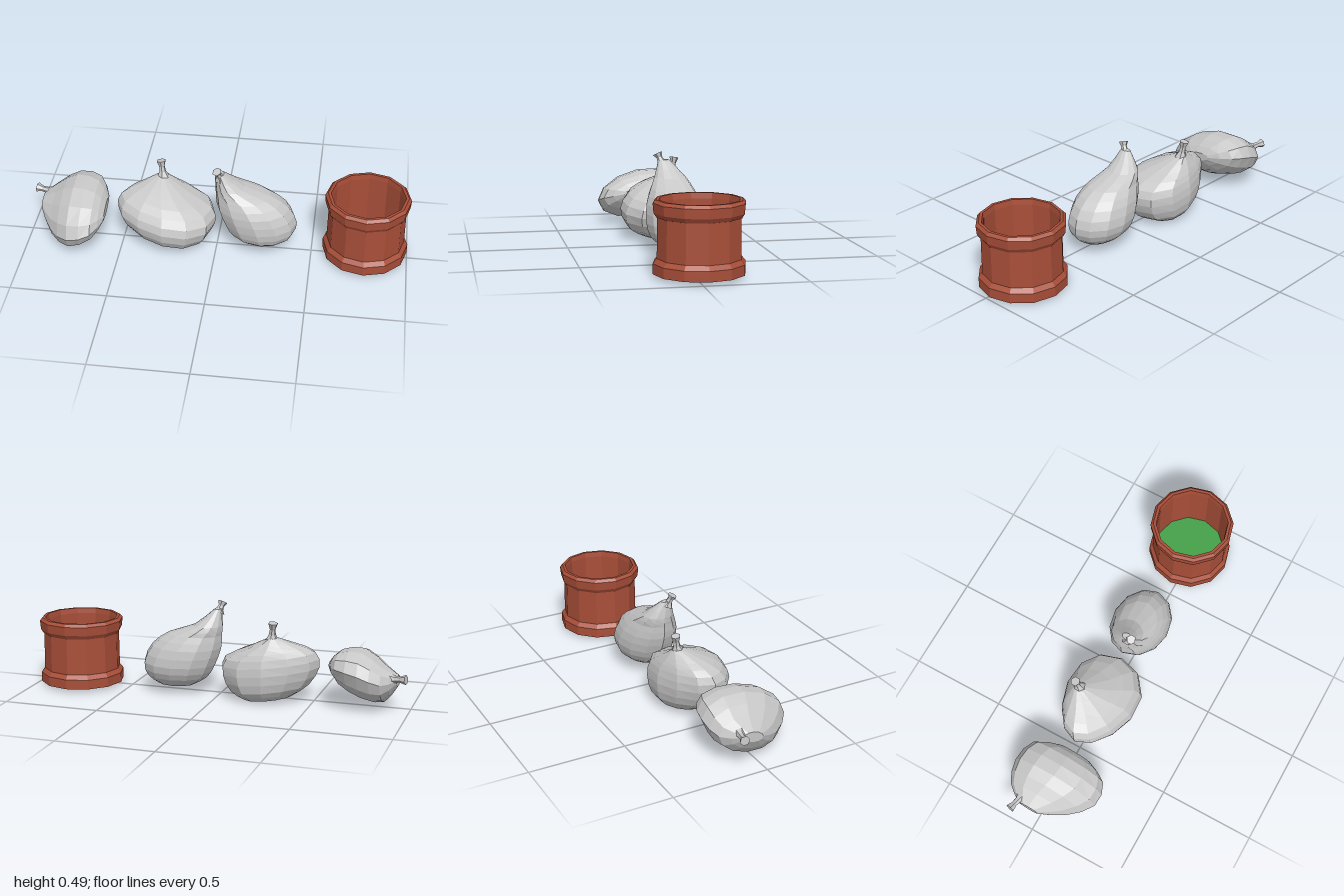
import * as THREE from 'three';

const clay = new THREE.MeshStandardMaterial({ color: 0xa84e38 });
clay.name = 'terracotta';
const skin = new THREE.MeshStandardMaterial({ color: 0xc8c8c8 });
skin.name = 'pale grey skin';
const green = new THREE.MeshStandardMaterial({ color: 0x43a047 });
green.name = 'green';

// Add a mesh whose faces each have their own flat normal
function addMesh(parent, name, geometry, material) {
  const flat = geometry.toNonIndexed();
  flat.computeVertexNormals();
  const mesh = new THREE.Mesh(flat, material);
  mesh.name = name;
  parent.add(mesh);
  return mesh;
}

// Smooth loft through egg-shaped stations [t, a0, a1, b0, b1].
// Axis 'y': t = y, a = x, b = z.  Axis 'x': t = x, a = z, b = y.
// Taper narrows the low-a end; lean lowers the high-a side.
function loft(stations, axis, taper, lean) {
  const sides = 12, last = (stations.length - 1) * 2;
  const spline = (column) => new THREE.CatmullRomCurve3(
    stations.map((s) => new THREE.Vector3(s[0], s[column], s[column + 1])), false, 'catmullrom');
  const spanA = spline(1), spanB = spline(3);
  const pos = [], index = [];
  for (let i = 0; i <= last; i++) {
    const { x: t, y: a0, z: a1 } = spanA.getPoint(i / last);
    const { y: b0, z: b1 } = spanB.getPoint(i / last);
    for (let j = 0; j < sides; j++) {
      const angle = (j / sides) * Math.PI * 2;
      const u = Math.cos(angle), v = Math.sin(angle) * (1 + taper * u);
      const a = (a0 + a1 + u * (a1 - a0)) / 2;
      const b = (b0 + b1 + v * (b1 - b0)) / 2;
      const drop = (lean * u * (a1 - a0)) / 2;
      if (axis === 'y') pos.push(a, t - drop, b);
      else pos.push(t, b - drop, a);
    }
  }
  for (let i = 0; i < last; i++) {
    for (let j = 0; j < sides; j++) {
      const p = i * sides + j, q = i * sides + ((j + 1) % sides);
      index.push(p, p + sides, q + sides, p, q + sides, q);
    }
  }
  // End caps
  const top = last * sides;
  for (let j = 1; j < sides - 1; j++) {
    index.push(0, j, j + 1, top, top + j + 1, top + j);
  }
  const geometry = new THREE.BufferGeometry();
  geometry.setAttribute('position', new THREE.Float32BufferAttribute(pos, 3));
  geometry.setIndex(index);
  return geometry;
}

// Bulb body with a pinched stem that flares at its tip
function makeBulb(name, body, stemBase, stemTip) {
  const bulb = new THREE.Group();
  bulb.name = name;
  addMesh(bulb, 'bulbBody', body, skin);

  const base = new THREE.Vector3(...stemBase);
  const direction = new THREE.Vector3(...stemTip).sub(base);
  const length = direction.length();
  const profile = [[0.034, 0], [0.018, 0.35], [0.015, 0.65], [0.025, 1], [0, 1]]
    .map(([r, h]) => new THREE.Vector2(r, h * length));
  const stem = addMesh(bulb, 'bulbStem', new THREE.LatheGeometry(profile, 6), skin);
  stem.position.copy(base);
  stem.quaternion.setFromUnitVectors(new THREE.Vector3(0, 1, 0), direction.normalize());
  return bulb;
}

function makePot() {
  const pot = new THREE.Group();
  pot.name = 'pot';
  // Foot, wall, rim and inner wall
  const profile = [
    [0, 0.02], [0.221, 0.02], [0.221, 0.07], [0.202, 0.093], [0.2, 0.285],
    [0.204, 0.286], [0.217, 0.307], [0.221, 0.353], [0.207, 0.368],
    [0.192, 0.368], [0.188, 0.34], [0.188, 0.05],
  ].map(([r, y]) => new THREE.Vector2(r, y));
  addMesh(pot, 'potShell', new THREE.LatheGeometry(profile, 12), clay);

  const floor = addMesh(pot, 'potFloor', new THREE.CircleGeometry(0.189, 12), green);
  floor.rotation.x = -Math.PI / 2;
  floor.position.y = 0.05;
  pot.position.set(0.778, 0, -0.028);
  return pot;
}

export function createModel() {
  const model = new THREE.Group();
  model.name = 'bulbsAndPot';

  // Lying on its side
  model.add(makeBulb('lyingBulb', loft([
    [-0.94, -0.10, 0.01, 0.135, 0.19],
    [-0.87, -0.19, 0.13, 0.04, 0.235],
    [-0.76, -0.222, 0.238, 0.035, 0.302],
    [-0.64, -0.185, 0.22, 0.1, 0.285],
    [-0.585, -0.06, 0.11, 0.175, 0.225],
  ], 'x', 0, 0.18), [-0.90, 0.182, -0.10], [-0.99, 0.19, -0.122]));

  // Broad and squat
  model.add(makeBulb('broadBulb', loft([
    [0.018, -0.39, -0.14, -0.145, 0.06],
    [0.07, -0.475, -0.06, -0.19, 0.15],
    [0.16, -0.528, -0.012, -0.203, 0.182],
    [0.24, -0.51, -0.03, -0.19, 0.14],
    [0.295, -0.42, -0.16, -0.165, 0.045],
    [0.345, -0.33, -0.275, -0.135, -0.07],
  ], 'y', 0.2, 0.11), [-0.30, 0.335, -0.105], [-0.31, 0.426, -0.12]));

  // Tall, with the neck leaning to one side
  model.add(makeBulb('tallBulb', loft([
    [0.045, 0.14, 0.34, -0.10, 0.05],
    [0.09, 0.07, 0.398, -0.155, 0.105],
    [0.16, 0.027, 0.417, -0.18, 0.125],
    [0.25, -0.005, 0.375, -0.167, 0.118],
    [0.32, -0.01, 0.28, -0.135, 0.088],
    [0.37, -0.012, 0.14, -0.108, 0.057],
    [0.455, 0, 0.035, -0.03, 0.025],
  ], 'y', 0, 0), [0.018, 0.43, 0.004], [0.002, 0.486, 0.028]));

  model.add(makePot());
  return model;
}
